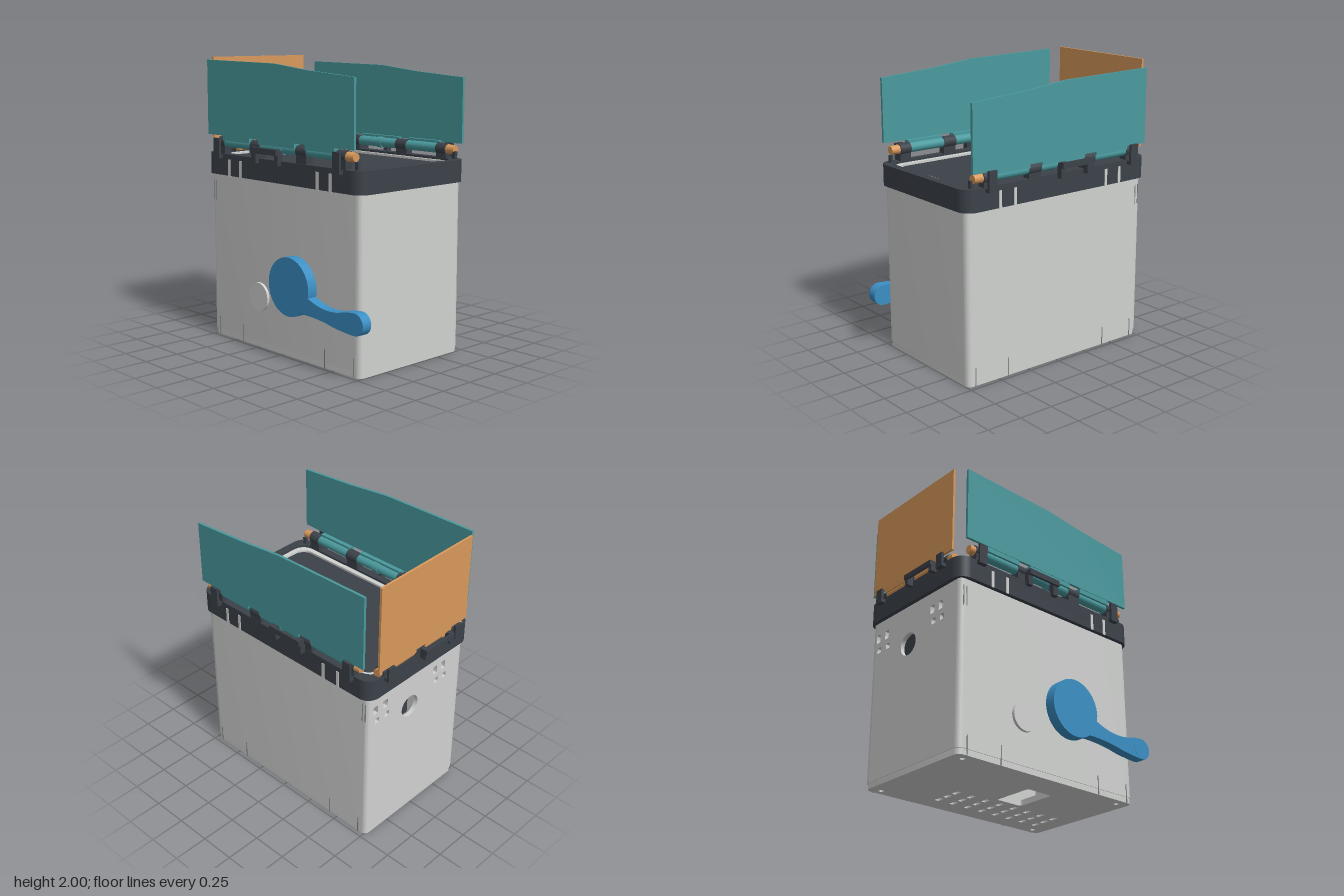
import * as THREE from 'three';
import { toCreasedNormals } from 'three/addons/utils/BufferGeometryUtils.js';

const mat = (name, color) => {
  const m = new THREE.MeshStandardMaterial({ color });
  m.name = name;
  return m;
};

export function createModel() {
  const shell = mat('light grey', 0xd0d2d0), dark = mat('charcoal', 0x3c4149);
  const teal = mat('teal', 0x4a9a9e), orange = mat('orange', 0xd9995c);
  const blue = mat('blue', 0x3b8fc4), seam = mat('seam grey', 0x858886);
  const model = new THREE.Group();
  model.name = 'crankBox';

  const add = (name, geo, m, x = 0, y = 0, z = 0, parent = model) => {
    const mesh = new THREE.Mesh(geo, m);
    mesh.name = name;
    mesh.position.set(x, y, z);
    parent.add(mesh);
    return mesh;
  };
  // box given by its limits
  const box = (name, m, x0, x1, y0, y1, z0, z1, parent) =>
    add(name, new THREE.BoxGeometry(x1 - x0, y1 - y0, z1 - z0), m,
      (x0 + x1) / 2, (y0 + y1) / 2, (z0 + z1) / 2, parent);
  // rod along x or z between two limits
  const rod = (name, m, axis, r, a, b, u, y, parent, r2 = r) => {
    const g = new THREE.CylinderGeometry(r, r2, b - a, 24);
    if (axis === 'x') g.rotateZ(-Math.PI / 2); else g.rotateX(Math.PI / 2);
    const c = (a + b) / 2;
    return axis === 'x' ? add(name, g, m, c, y, u, parent) : add(name, g, m, u, y, c, parent);
  };
  const extrude = (shape, depth) => toCreasedNormals(
    new THREE.ExtrudeGeometry(shape, { depth, bevelEnabled: false, curveSegments: 20 }), 0.6);
  const flat = (shape, depth) => extrude(shape, depth).rotateX(-Math.PI / 2); // shape = (x, -z)
  const side = (shape, depth) => extrude(shape, depth).rotateY(-Math.PI / 2); // shape = (z, y)
  const rounded = (x0, x1, y0, y1, r, S = THREE.Shape) => {
    const s = new S();
    s.moveTo(x0 + r, y0);
    s.lineTo(x1 - r, y0); s.absarc(x1 - r, y0 + r, r, -Math.PI / 2, 0);
    s.lineTo(x1, y1 - r); s.absarc(x1 - r, y1 - r, r, 0, Math.PI / 2);
    s.lineTo(x0 + r, y1); s.absarc(x0 + r, y1 - r, r, Math.PI / 2, Math.PI);
    s.lineTo(x0, y0 + r); s.absarc(x0 + r, y0 + r, r, Math.PI, Math.PI * 1.5);
    return s;
  };
  const hole = (s, x0, x1, y0, y1) =>
    s.holes.push(rounded(x0, x1, y0, y1, Math.min(x1 - x0, y1 - y0) * 0.1, THREE.Path));
  const round = (s, x, y, r) => s.holes.push(new THREE.Path().absarc(x, y, r, 0, Math.PI * 2));

  // front and side walls with round corners
  const walls = new THREE.Shape();
  walls.moveTo(0.43, 0.77);
  walls.quadraticCurveTo(0.47, 0.77, 0.47, 0.73);
  walls.lineTo(0.47, -0.7);
  walls.quadraticCurveTo(0.47, -0.75, 0.42, -0.75);
  walls.lineTo(-0.425, -0.75);
  walls.quadraticCurveTo(-0.475, -0.75, -0.475, -0.7);
  walls.lineTo(-0.475, 0.73);
  walls.quadraticCurveTo(-0.475, 0.77, -0.435, 0.77);
  [[-0.435, 0.74], [-0.445, 0.74], [-0.445, -0.72], [0.44, -0.72], [0.44, 0.74], [0.43, 0.74]]
    .forEach(p => walls.lineTo(...p));
  add('walls', flat(walls, 1.16), shell, 0, 0.04, 0);

  // back wall with port and slots
  const back = new THREE.Shape([[-0.435, 0.04], [0.43, 0.04], [0.43, 1.2], [-0.435, 1.2]]
    .map(p => new THREE.Vector2(...p)));
  round(back, 0.06, 0.9, 0.08);
  for (const x of [0.4, 0.305, -0.19, -0.275]) {
    hole(back, x - 0.02, x + 0.02, 1.03, 1.09);
    hole(back, x - 0.035, x + 0.005, 0.95, 0.99);
  }
  add('backWall', extrude(back, 0.03), shell, 0, 0, -0.77);
  box('portBacking', dark, 0.0, 0.2, 0.78, 1.02, -0.7, -0.68);

  // floor with vents, hatch and screw holes
  const floor = rounded(-0.471, 0.466, -0.746, 0.766, 0.04);
  hole(floor, -0.25, 0.05, -0.21, 0);
  for (const x of [0.3, 0.21, 0.12]) for (let i = 0; i < 8; i++) {
    const s = 0.29 - i * 0.125;
    hole(floor, x - 0.03, x + 0.03, s - 0.016, s + 0.016);
  }
  for (const x of [-0.41, 0.41]) for (const s of [0.68, -0.66]) round(floor, x, s, 0.018);
  add('floor', flat(floor, 0.04), shell);

  // seam lines near the base and the back corner
  for (const x of [-0.475, 0.47]) {
    for (const z of [0.69, 0.42, -0.43, -0.7])
      box('tabSlit', seam, x - 0.002, x + 0.002, 0, 0.13, z - 0.004, z + 0.004);
    for (const z of [-0.72, -0.745])
      box('sideSlot', seam, x - 0.002, x + 0.002, 0.99, 1.13, z - 0.003, z + 0.003);
  }

  // rim, tray lip and top panel
  const rim = rounded(-0.505, 0.498, -0.775, 0.8, 0.09);
  hole(rim, -0.445, 0.435, -0.715, 0.755);
  add('rim', flat(rim, 0.15), dark, 0, 1.18, 0);
  const lip = rounded(-0.446, 0.436, -0.716, 0.756, 0.04);
  hole(lip, -0.41, 0.41, -0.68, 0.72);
  add('trayLip', flat(lip, 0.1), shell, 0, 1.215, 0);
  box('topPanel', dark, -0.412, 0.412, 1.27, 1.3, -0.722, 0.682);
  for (const x of [-0.506, 0.499]) for (const z of [0.505, 0.385, -0.405, -0.53])
    box('rimSlot', shell, x - 0.003, x + 0.003, 1.178, 1.295, z - 0.011, z + 0.011);
  for (const s of [-1, 1]) box('cornerPost', dark, s * 0.455 - 0.012, s * 0.455 + 0.012, 1.32, 1.38, 0.69, 0.715);

  // side flaps with hinges; the one on the -x side sits slightly higher
  for (const [s, cy, lift] of [[1, 1.39, 0], [-1, 1.41, 0.03]]) {
    const g = new THREE.Group();
    g.name = s > 0 ? 'leftFlap' : 'rightFlap';
    model.add(g);
    const span = (a, b) => s > 0 ? [a, b] : [-b, -a];
    const flap = new THREE.Shape([[0.73, 1.43], [0.73, 1.875], [0.3, 1.905], [-0.03, 1.94],
      [-0.755, 1.952], [-0.755, 1.43]].map(([z, y]) => new THREE.Vector2(z, y + lift)));
    add('flapPanel', side(flap, 0.018), teal, s > 0 ? 0.513 : -0.497, 0, 0, g);
    const hx = s * 0.466;
    for (const [a, b] of [[-0.59, -0.3], [-0.2, 0.17], [0.27, 0.55]]) {
      rod('flapBarrel', teal, 'z', 0.034, a, b, hx, cy, g);
      box('flapStrap', teal, ...span(0.466, 0.512), cy + 0.015, cy + 0.05, a, b, g);
    }
    rod('barrelBand', teal, 'z', 0.039, -0.025, 0.025, hx, cy, g);
    for (const [a, b] of [[-0.665, -0.59], [-0.3, -0.2], [0.17, 0.27], [0.55, 0.635]]) {
      rod('hingeKnuckle', dark, 'z', 0.04, a, b, hx, cy, g);
      box('hingePost', dark, ...span(0.44, 0.497), 1.32, cy, a, b, g);
    }
    rod('hingePinFront', orange, 'z', 0.028, 0.635, 0.7, hx, cy, g, 0.033);
    rod('hingePinBack', orange, 'z', 0.033, -0.705, -0.665, hx, cy, g, 0.028);
    for (const z of [-0.635, 0.59]) {
      box('clip', dark, ...span(0.52, 0.538), 1.3, 1.44, z - 0.032, z + 0.032, g);
      box('clipFoot', dark, ...span(0.49, 0.538), 1.3, 1.325, z - 0.032, z + 0.032, g);
    }
    // latch handle
    box('handleBar', dark, ...span(0.537, 0.555), 1.37, 1.41, -0.24, 0.03, g);
    for (const z of [-0.22, 0.01]) {
      box('handleArm', dark, ...span(0.518, 0.55), 1.37, 1.41, z - 0.02, z + 0.02, g);
      box('handleLeg', dark, ...span(0.495, 0.535), 1.3, 1.4, z - 0.02, z + 0.02, g);
    }
  }

  // back flap with hinge
  const bf = new THREE.Group();
  bf.name = 'backFlap';
  model.add(bf);
  box('flapPanel', orange, -0.43, 0.423, 1.385, 2, -0.812, -0.796, bf);
  for (const [a, b] of [[-0.28, -0.02], [0.07, 0.29]]) {
    rod('flapBarrel', orange, 'x', 0.033, a, b, -0.768, 1.352, bf);
    box('flapStrap', orange, a, b, 1.36, 1.39, -0.81, -0.768, bf);
  }
  box('barrelTab', orange, -0.26, -0.205, 1.33, 1.395, -0.8, -0.735, bf);
  for (const [a, b] of [[-0.365, -0.28], [-0.02, 0.07], [0.29, 0.375]]) {
    rod('hingeKnuckle', dark, 'x', 0.035, a, b, -0.768, 1.352, bf);
    box('hingePost', dark, a, b, 1.3, 1.35, -0.8, -0.745, bf);
  }
  for (const [a, b] of [[-0.41, -0.365], [0.375, 0.4]])
    rod('hingePin', orange, 'x', 0.028, a, b, -0.768, 1.352, bf);
  for (const x of [-0.325, 0.33]) {
    box('clip', dark, x - 0.03, x + 0.03, 1.29, 1.39, -0.836, -0.818, bf);
    box('clipFoot', dark, x - 0.03, x + 0.03, 1.29, 1.315, -0.83, -0.79, bf);
  }
  box('handleBar', dark, -0.26, 0.02, 1.33, 1.365, -0.855, -0.838, bf);
  for (const x of [-0.245, 0.005]) box('handleLeg', dark, x - 0.015, x + 0.015, 1.29, 1.365, -0.845, -0.795, bf);

  // crank on the -x wall
  const crank = new THREE.Group();
  crank.name = 'crank';
  model.add(crank);
  rod('crankDisc', blue, 'x', 0.2, -0.555, -0.482, 0.15, 0.51, crank).geometry =
    new THREE.CylinderGeometry(0.2, 0.2, 0.073, 48).rotateZ(Math.PI / 2);
  const arm = new THREE.Shape();
  arm.moveTo(0.25, 0.35);
  arm.quadraticCurveTo(0.42, 0.36, 0.58, 0.325);
  arm.quadraticCurveTo(0.68, 0.31, 0.78, 0.307);
  arm.lineTo(0.78, 0.453);
  arm.quadraticCurveTo(0.7, 0.45, 0.64, 0.43);
  arm.quadraticCurveTo(0.48, 0.4, 0.32, 0.48);
  arm.lineTo(0.25, 0.5);
  add('crankArm', side(arm, 0.071), blue, -0.483, 0, 0, crank);
  rod('crankKnob', blue, 'x', 0.073, -0.555, -0.482, 0.782, 0.38, crank);
  rod('crankAxle', dark, 'x', 0.07, -0.485, -0.47, 0.15, 0.51, crank);
  rod('roundCover', shell, 'x', 0.1, -0.495, -0.47, -0.24, 0.365);
  return model;
}
